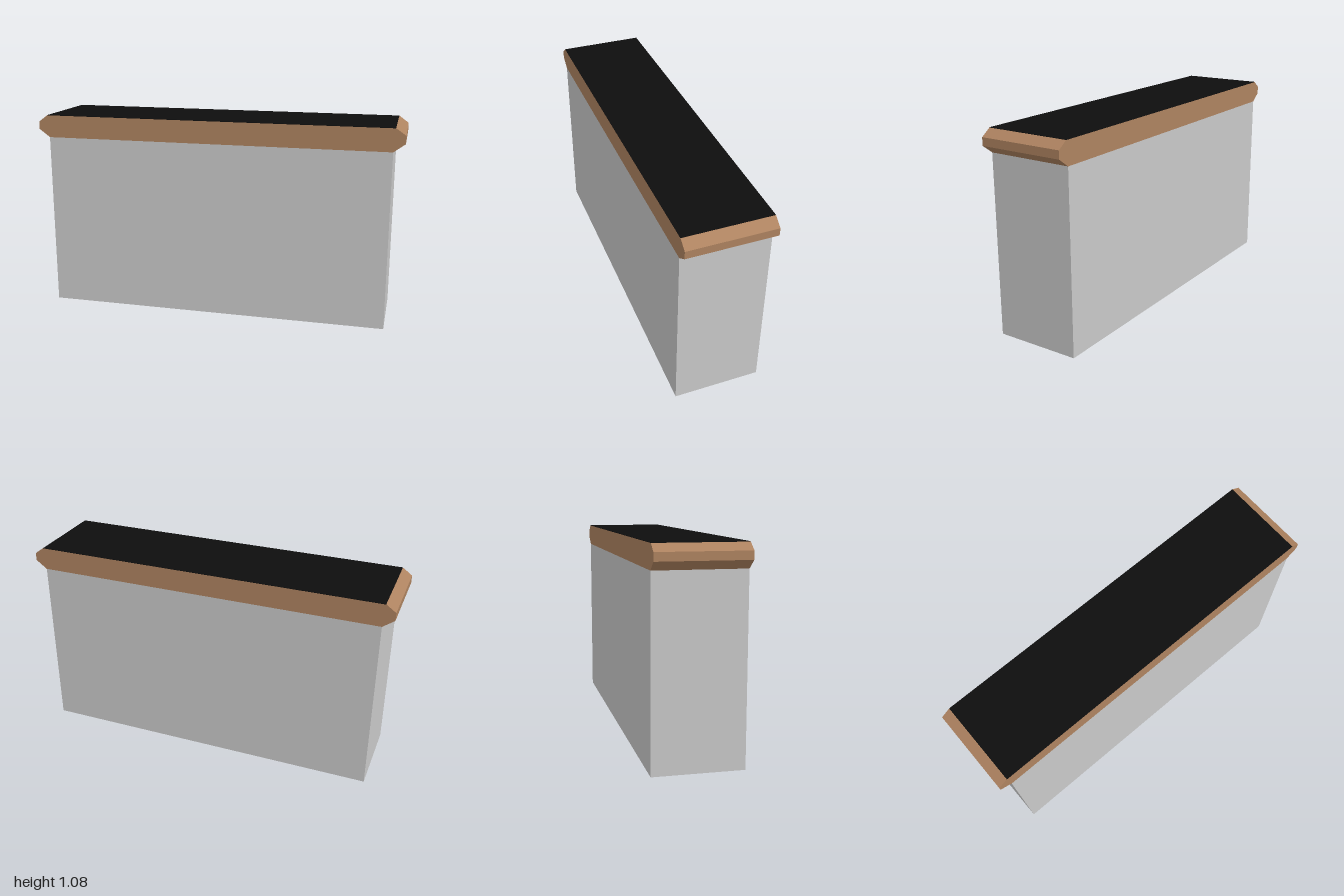
import * as THREE from 'three';

const DEPTH = 0.46;

export function createModel() {
  const model = new THREE.Group();
  const grey = new THREE.MeshStandardMaterial({ color: 0xc9c9c9 });
  grey.name = 'light grey';
  const wood = new THREE.MeshStandardMaterial({ color: 0xae8360 });
  wood.name = 'wood brown';
  const black = new THREE.MeshStandardMaterial({ color: 0x0d0d0d });
  black.name = 'black';

  const add = (name, geometry, material, y = 0) => {
    const mesh = new THREE.Mesh(geometry, material);
    mesh.name = name;
    mesh.position.y = y;
    model.add(mesh);
  };

  // Solid counter body
  add('body', new THREE.BoxGeometry(1.88, 0.956, DEPTH), grey, 0.478);

  // Worktop with chamfered ends, extruded front to back
  const right = [[0.94, 0.956], [1, 1], [1, 1.042], [0.95, 1.078]];
  const left = right.map(([x, y]) => [-x, y]).reverse();
  const profile = new THREE.Shape([...right, ...left].map(([x, y]) => new THREE.Vector2(x, y)));
  const slab = new THREE.ExtrudeGeometry(profile, { depth: DEPTH, bevelEnabled: false });
  slab.translate(0, 0, -DEPTH / 2);
  add('worktop', slab, wood);

  // Thin dark covering on the worktop
  add('topSurface', new THREE.BoxGeometry(1.895, 0.002, DEPTH), black, 1.079);

  return model;
}
